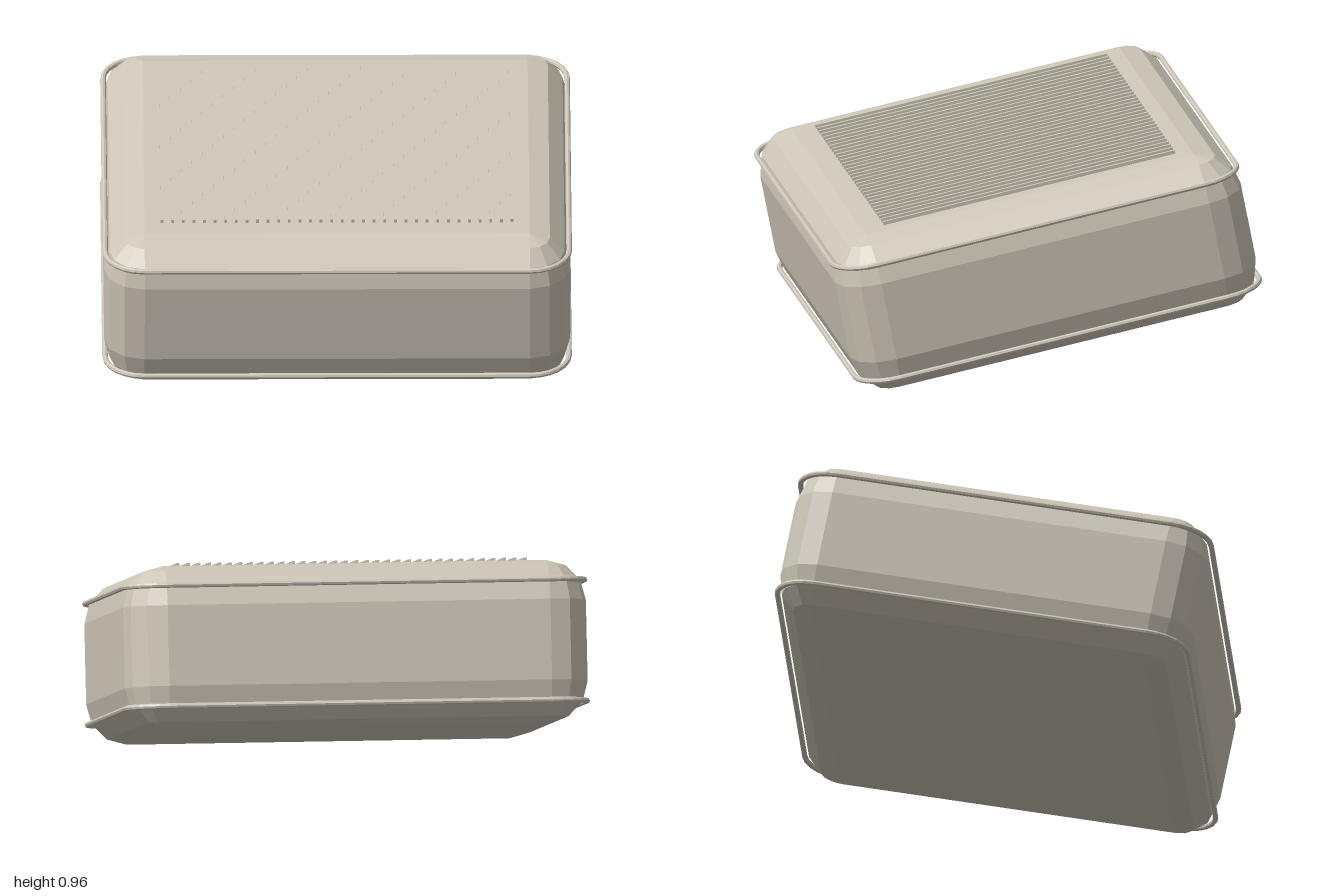
import * as THREE from 'three';

const CORNER_X = 0.82, CORNER_Z = 0.725; // centres of the rounded corners

// Rounded rectangle at height y, its corners having the given radius
function ring(radius, y, steps) {
  const points = [];
  for (let q = 0; q < 4; q++) {
    const sx = q === 0 || q === 3 ? 1 : -1, sz = q < 2 ? 1 : -1;
    for (let s = 0; s <= steps; s++) {
      const a = (q + s / steps) * Math.PI / 2;
      points.push(new THREE.Vector3(sx * CORNER_X + radius * Math.cos(a), y, sz * CORNER_Z + radius * Math.sin(a)));
    }
  }
  return points;
}

// Faceted skin through rings given as [radius, y]; either capped or closed into a loop
function loft(profile, steps, closed) {
  const rings = profile.map(([r, y]) => ring(r, y, steps));
  const n = rings[0].length, pos = [];
  const tri = (...pts) => pts.forEach(p => pos.push(p.x, p.y, p.z));
  const last = closed ? rings.length : rings.length - 1;
  for (let k = 0; k < last; k++) {
    const low = rings[k], up = rings[(k + 1) % rings.length];
    for (let i = 0; i < n; i++) {
      const j = (i + 1) % n;
      tri(low[i], up[i], up[j]);
      tri(low[i], up[j], low[j]);
    }
  }
  if (!closed) {
    const bottom = rings[0], top = rings[rings.length - 1];
    for (let i = 1; i < n - 1; i++) {
      tri(bottom[0], bottom[i], bottom[i + 1]);
      tri(top[0], top[i + 1], top[i]);
    }
  }
  const geo = new THREE.BufferGeometry();
  geo.setAttribute('position', new THREE.Float32BufferAttribute(pos, 3));
  geo.computeVertexNormals();
  return geo;
}

export function createModel() {
  const model = new THREE.Group();
  model.name = 'ribbedCase';
  const shell = new THREE.MeshStandardMaterial({ color: 0xcdc6b8 });
  shell.name = 'warm grey shell';

  const add = (name, geo, parent = model) => {
    const mesh = new THREE.Mesh(geo, shell);
    mesh.name = name;
    parent.add(mesh);
    return mesh;
  };

  // Body with three-step rounded edges
  const profile = [];
  for (const side of [-1, 1]) {
    for (let k = 0; k <= 3; k++) {
      const t = (side < 0 ? 3 - k : k) * Math.PI / 6;
      profile.push([0.172 * Math.cos(t), side * (0.172 + 0.174 * Math.sin(t))]);
    }
  }
  add('body', loft(profile, 3, false));

  // Piping around the upper and lower edges
  for (const [name, y] of [['lowerRim', -0.258], ['upperRim', 0.258]]) {
    const section = [];
    for (let k = 0; k < 8; k++) {
      const a = k * Math.PI / 4;
      section.push([0.168 + 0.012 * Math.cos(a), y + 0.012 * Math.sin(a)]);
    }
    add(name, loft(section, 6, true));
  }

  // Row of raised ribs on the lid
  const ribs = new THREE.Group();
  ribs.name = 'ribs';
  const ribGeo = new THREE.BoxGeometry(0.012, 0.03, 1.29);
  for (let i = 0; i < 34; i++) {
    add('rib', ribGeo, ribs).position.set(-0.745 + i * 1.49 / 33, 0.346, -0.012);
  }
  model.add(ribs);

  // The whole case leans forward
  model.rotation.x = THREE.MathUtils.degToRad(11);
  model.position.y = 0.48;
  const root = new THREE.Group();
  root.name = 'case';
  root.add(model);
  return root;
}
